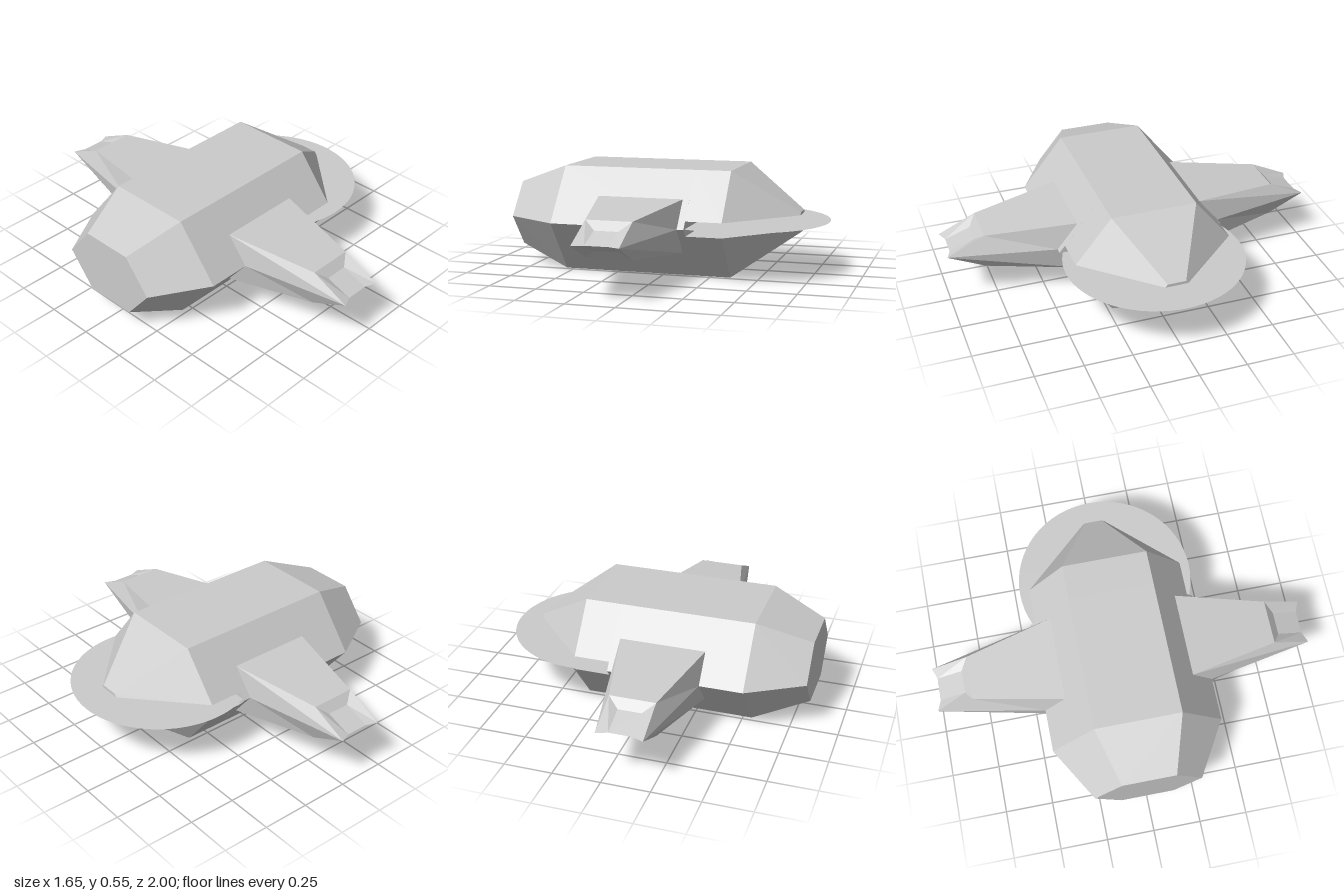
import * as THREE from 'three';

const MID = 0.275; // height of the horizontal symmetry plane
const material = new THREE.MeshStandardMaterial({ color: 0xcccccc, flatShading: true });

// Skin a list of equal-length rings (counter-clockwise about the loft axis)
function loft(name, rings, { capStart = false, capEnd = true } = {}) {
  const pos = [];
  const tri = (a, b, c) => pos.push(...a, ...b, ...c);
  for (let i = 0; i < rings.length - 1; i++) {
    const r = rings[i], s = rings[i + 1], n = r.length;
    for (let j = 0; j < n; j++) {
      const k = (j + 1) % n;
      tri(r[j], r[k], s[k]);
      tri(r[j], s[k], s[j]);
    }
  }
  const first = rings[0], last = rings[rings.length - 1];
  for (let j = 1; j < first.length - 1; j++) {
    if (capStart) tri(first[0], first[j + 1], first[j]);
    if (capEnd) tri(last[0], last[j], last[j + 1]);
  }
  const geo = new THREE.BufferGeometry();
  geo.setAttribute('position', new THREE.Float32BufferAttribute(pos, 3));
  geo.computeVertexNormals();
  const mesh = new THREE.Mesh(geo, material);
  mesh.name = name;
  return mesh;
}

// Hexagonal hull section: half height h, widest half width w, flat half width f
const hullRing = (x, h, w, f) => [
  [x, MID, -w], [x, MID + h, -f], [x, MID + h, f],
  [x, MID, w], [x, MID - h, f], [x, MID - h, -f],
];

// Trapezoid section of a jaw above (s = 1) or below (s = -1) the slot
const jawRing = (s, x, gap, h, w, f) => [
  [x, MID + s * gap, -s * w], [x, MID + s * h, -s * f],
  [x, MID + s * h, s * f], [x, MID + s * gap, s * w],
];

// Wing section: flat top and bottom edges at zEdge, ridge at zRidge
function wingRing(side, x0, x1, h, zEdge, zRidge) {
  const ring = [
    [x1, MID, side * zRidge], [x1, MID + h, side * zEdge], [x0, MID + h, side * zEdge],
    [x0, MID, side * zRidge], [x0, MID - h, side * zEdge], [x1, MID - h, side * zEdge],
  ];
  // keep the ridge corner first so the end cap folds along the ridge
  return side > 0 ? ring : [ring[0], ...ring.slice(1).reverse()];
}

export function createModel() {
  const model = new THREE.Group();
  model.name = 'slottedCraft';

  // Solid hull behind the slot; its end cap is the slot's back wall
  model.add(loft('hull', [
    hullRing(-0.83, 0.17, 0.28, 0.14),
    hullRing(-0.545, 0.275, 0.447, 0.225),
    hullRing(0.165, 0.275, 0.447, 0.225),
  ], { capStart: true }));

  // Upper and lower jaws tapering to the nose
  for (const s of [1, -1]) {
    model.add(loft(s > 0 ? 'upperJaw' : 'lowerJaw', [
      jawRing(s, 0.165, 0.038, 0.275, 0.416, 0.225),
      jawRing(s, 0.352, 0.038, 0.275, 0.416, 0.225),
      jawRing(s, 0.68, 0.038, 0.053, 0.06, 0.048),
    ]));
  }

  // Thin disc held in the slot
  const disc = new THREE.Mesh(
    new THREE.CircleGeometry(0.469, 64),
    new THREE.MeshStandardMaterial({ color: 0xcccccc, side: THREE.DoubleSide }),
  );
  disc.name = 'disc';
  disc.rotation.x = -Math.PI / 2;
  disc.position.set(0.355, MID, 0);
  model.add(disc);

  // Side wings with wedge ends and a recessed tip panel
  for (const side of [1, -1]) {
    model.add(loft(side > 0 ? 'frontWing' : 'backWing', [
      wingRing(side, -0.32, 0.13, 0.137, 0.336, 0.447),
      wingRing(side, -0.215, 0.021, 0.092, 0.803, 1.0),
      wingRing(side, -0.157, -0.036, 0.048, 0.843, 0.977),
    ]));
  }
  return model;
}
